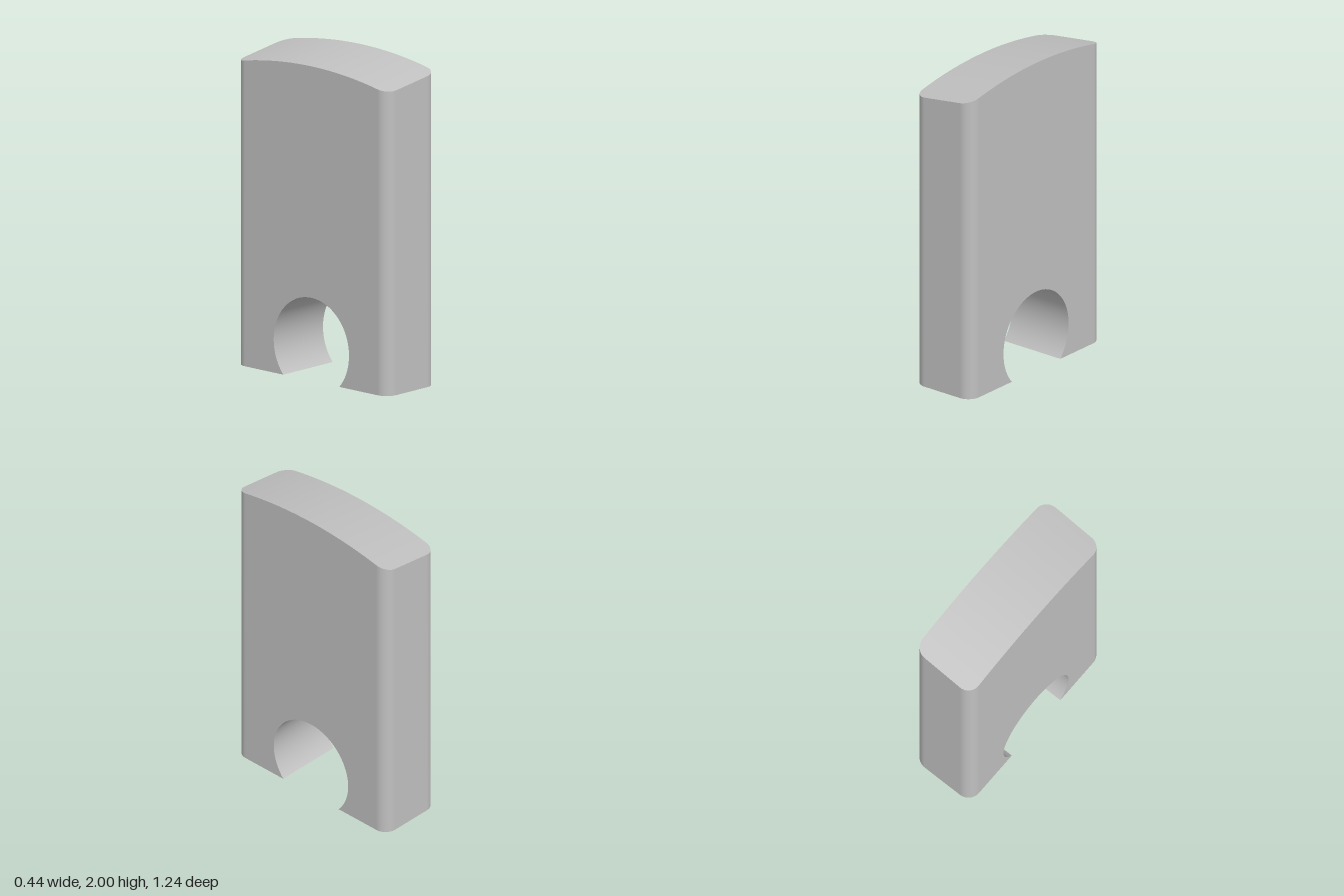
import * as THREE from 'three';
import { mergeGeometries } from 'three/addons/utils/BufferGeometryUtils.js';

const W = 0.218, D = 0.62, R = 0.08;       // half width, half depth, corner radius
const CY = 0.205, HR = 0.307;              // notch centre height and radius
const ARC = 2.78, SLOPE = 0.137;           // crown radius and sideways tilt
const HALF_GAP = Math.sqrt(HR * HR - CY * CY);

// Height of the tilted, crowned top
const topY = (x, z) => 2 - ARC + Math.sqrt(ARC * ARC - z * z) + SLOPE * (x - W);

// Ruled surface between two point rows, with one normal per row pair
function ruled(a, b, na, nb = na) {
  const pos = [], nor = [], index = [];
  a.forEach((p, i) => {
    pos.push(...p, ...b[i]);
    nor.push(...na[i], ...nb[i]);
    if (i) {
      const k = 2 * i - 2;
      index.push(k, k + 2, k + 1, k + 1, k + 2, k + 3);
    }
  });
  const g = new THREE.BufferGeometry();
  g.setAttribute('position', new THREE.Float32BufferAttribute(pos, 3));
  g.setAttribute('normal', new THREE.Float32BufferAttribute(nor, 3));
  g.setIndex(index);
  return g;
}

function flat(points) {
  const g = new THREE.ShapeGeometry(new THREE.Shape(points.map(p => new THREE.Vector2(...p))));
  g.deleteAttribute('uv');
  return g;
}

// Plan outline of one rounded end: [x, z, normal x, normal z]
function endPath(s) {
  const path = [], n = 10;
  for (const side of [-1, 1]) {
    for (let i = 0; i <= n; i++) {
      const t = (side < 0 ? i : n - i) / n * Math.PI / 2;
      const nx = side * Math.cos(t), nz = Math.sin(t);
      path.push([s * (side * (W - R) + R * nx), s * (D - R + R * nz), s * nx, s * nz]);
    }
  }
  return path;
}

export function createModel() {
  const parts = [];

  // Rounded end walls and the two feet undersides
  for (const s of [1, -1]) {
    const path = endPath(s);
    parts.push(ruled(
      path.map(([x, z]) => [x, 0, z]),
      path.map(([x, z]) => [x, topY(x, z), z]),
      path.map(([, , nx, nz]) => [nx, 0, nz])));
    const foot = path.map(([x, z]) => [x, z]);
    foot.push([s * W, s * HALF_GAP], [-s * W, s * HALF_GAP]);
    parts.push(flat(foot).rotateX(Math.PI / 2));
  }

  // Notch outline, running over the top from +z to -z
  const notch = [], start = -Math.asin(CY / HR);
  for (let i = 0; i <= 64; i++) {
    const t = start + (Math.PI - 2 * start) * i / 64;
    notch.push([HR * Math.cos(t), i % 64 ? CY + HR * Math.sin(t) : 0, t]);
  }
  parts.push(ruled(
    notch.map(([z, y]) => [-W, y, z]),
    notch.map(([z, y]) => [W, y, z]),
    notch.map(([, , t]) => [0, -Math.sin(t), -Math.cos(t)])));

  // Stations along the crown: rounded ends and an even middle
  const stations = [];
  for (let i = 0; i <= 10; i++) stations.push(-(D - R) - R * Math.cos(i / 10 * Math.PI / 2));
  for (let i = 1; i < 32; i++) stations.push((D - R) * (i / 16 - 1));
  for (let i = 10; i >= 0; i--) stations.push(-stations[i]);
  const halfW = z => W - R + Math.sqrt(Math.max(0, R * R - Math.max(0, Math.abs(z) - D + R) ** 2));
  const crownRow = s => stations.map(z => [s * halfW(z), topY(s * halfW(z), z), z]);
  parts.push(ruled(crownRow(-1), crownRow(1), stations.map(z =>
    new THREE.Vector3(-SLOPE, 1, z / Math.sqrt(ARC * ARC - z * z)).normalize().toArray())));

  // Broad side faces with the notch cut from the lower edge
  for (const s of [-1, 1]) {
    const outline = stations.slice(10, -10).map(z => [z, topY(s * W, z)]);
    outline.push([D - R, 0], ...notch.map(([z, y]) => [z, y]), [-(D - R), 0]);
    parts.push(flat(outline).rotateY(s * Math.PI / 2).translate(s * W, 0, 0));
  }

  const grey = new THREE.MeshStandardMaterial({ color: 0xc0c0c0 });
  grey.name = 'light grey';
  const block = new THREE.Mesh(mergeGeometries(parts), grey);
  block.name = 'notchedBlock';
  const group = new THREE.Group();
  group.name = 'crownedBlock';
  group.add(block);
  return group;
}
